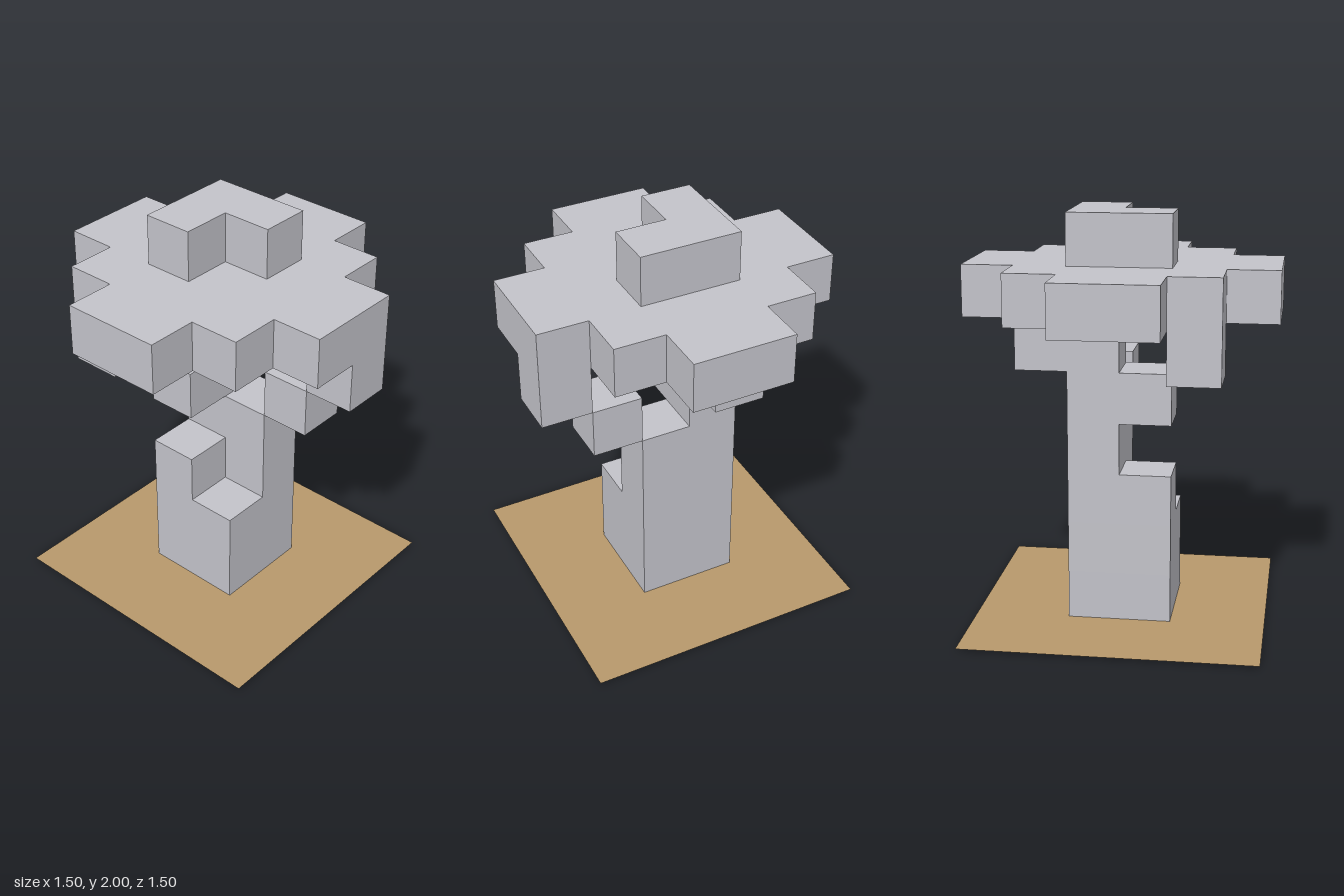
import * as THREE from 'three';

const S = 0.25; // edge of one cube

// Cubes as [x, y, z] cell indices; a cell spans index*S to (index+1)*S
const block = (x0, x1, y0, y1, z0, z1) => {
  const out = [];
  for (let x = x0; x <= x1; x++)
    for (let y = y0; y <= y1; y++)
      for (let z = z0; z <= z1; z++) out.push([x, y, z]);
  return out;
};

const PARTS = {
  trunk: [
    ...block(-1, 0, 0, 1, -1, 0), // full square foot
    ...block(0, 0, 2, 3, 0, 0),   // front corner column
    ...block(0, 0, 2, 5, -1, -1), // tall back column
    [-1, 2, -1],                  // broken step
  ],
  branches: [
    [-1, 4, -1], [0, 4, 1],
    [0, 5, 2], [-2, 5, -2], [1, 5, -1],
  ],
  canopy: [
    ...block(-2, 1, 6, 6, -2, 1),
    ...block(-1, 0, 6, 6, -3, -3), ...block(-1, 0, 6, 6, 2, 2),
    ...block(-3, -3, 6, 6, -1, 0), ...block(2, 2, 6, 6, -1, 0),
  ],
  topKnot: [[-1, 7, -1], [0, 7, -1], [0, 7, 0]],
};

const filled = new Set(Object.values(PARTS).flat().map(String));

// Mesh of the exposed cube faces only
function cubesGeometry(cells) {
  const pos = [], nor = [];
  for (const cell of cells)
    for (let a = 0; a < 3; a++)
      for (const s of [-1, 1]) {
        const n = [0, 0, 0];
        n[a] = s;
        if (filled.has(String(cell.map((c, i) => c + n[i])))) continue;
        if (a === 1 && s < 0 && cell[1] === 0) continue; // foot has its own plate
        const u = (a + 1) % 3, v = (a + 2) % 3;
        const corner = (du, dv) => {
          const p = [...cell];
          p[a] += s > 0 ? 1 : 0;
          p[u] += du;
          p[v] += dv;
          return p.map((c) => c * S);
        };
        const q = [corner(0, 0), corner(1, 0), corner(1, 1), corner(0, 1)];
        if (s < 0) q.reverse();
        for (const i of [0, 1, 2, 0, 2, 3]) {
          pos.push(...q[i]);
          nor.push(...n);
        }
      }
  const g = new THREE.BufferGeometry();
  g.setAttribute('position', new THREE.Float32BufferAttribute(pos, 3));
  g.setAttribute('normal', new THREE.Float32BufferAttribute(nor, 3));
  return g;
}

export function createModel() {
  const group = new THREE.Group();
  const grey = new THREE.MeshStandardMaterial({ color: 0xc3c3ca });
  grey.name = 'stone grey';
  const tan = new THREE.MeshStandardMaterial({ color: 0xb8996c, side: THREE.DoubleSide });
  tan.name = 'sand tan';
  const blue = new THREE.MeshStandardMaterial({ color: 0x5c5c88 });
  blue.name = 'slate blue';

  const add = (name, geometry, material) => {
    const mesh = new THREE.Mesh(geometry, material);
    mesh.name = name;
    group.add(mesh);
  };

  for (const [name, cells] of Object.entries(PARTS)) add(name, cubesGeometry(cells), grey);

  // Thin ground sheet, with the foot of the trunk poking just below it
  add('ground', new THREE.PlaneGeometry(1.42, 1.42).rotateX(-Math.PI / 2).translate(0, 0.01, 0), tan);
  add('trunkFoot', new THREE.PlaneGeometry(2 * S, 2 * S).rotateX(Math.PI / 2), blue);

  return group;
}
